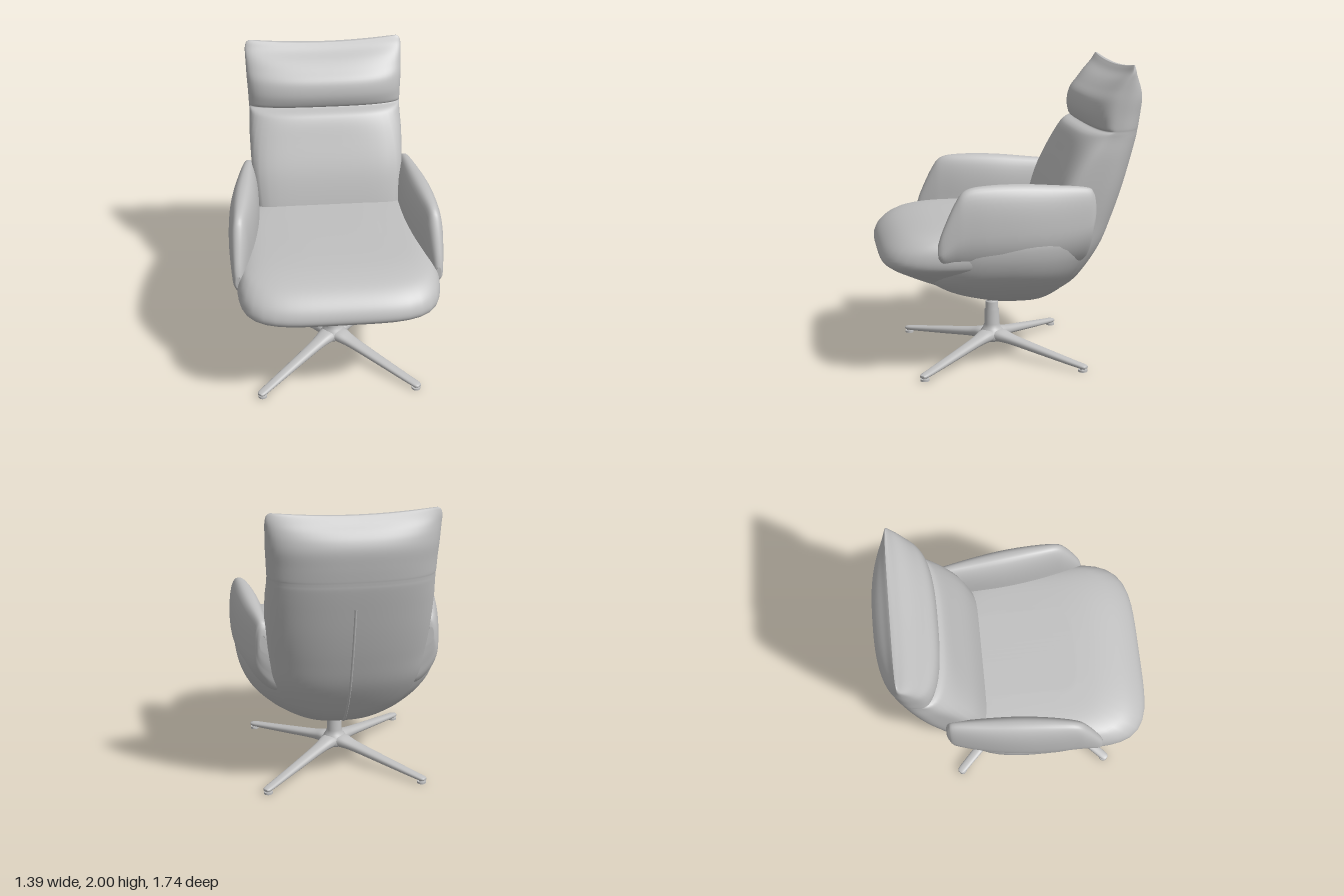
import * as THREE from 'three';

const SEG = 64;
const { smoothstep } = THREE.MathUtils;

// Closed smooth skin through equal-length symmetric rings, ends capped by strips
function loft(rings, flip = false) {
  const n = rings[0].length, idx = [];
  const tri = (a, b, c) => (flip ? idx.push(a, c, b) : idx.push(a, b, c));
  for (let i = 0; i < rings.length - 1; i++) {
    for (let j = 0; j < n; j++) {
      const a = i * n + j, b = i * n + (j + 1) % n;
      tri(a, b, a + n);
      tri(b, b + n, a + n);
    }
  }
  const last = (rings.length - 1) * n;
  for (let j = 0; j < n / 2; j++) {
    const k = n - j - 1, m = (n - j) % n;
    tri(last + j, last + j + 1, last + k);
    tri(last + j, last + k, last + m);
    tri(j, k, j + 1);
    tri(j, m, k);
  }
  const g = new THREE.BufferGeometry();
  g.setAttribute('position', new THREE.Float32BufferAttribute(rings.flat(2), 3));
  g.setIndex(idx);
  g.computeVertexNormals();
  return g;
}

// Smoothly subdivide a table of section values
function refine(rows, steps = 5) {
  const out = [], at = i => rows[Math.max(0, Math.min(rows.length - 1, i))];
  for (let i = 0; i < rows.length - 1; i++) {
    for (let k = 0; k < steps; k++) {
      const t = k / steps, t2 = t * t, t3 = t2 * t;
      out.push(rows[i].map((b, c) => {
        const d = at(i + 1)[c], m0 = (d - at(i - 1)[c]) / 2, m1 = (at(i + 2)[c] - b) / 2;
        return b * (2 * t3 - 3 * t2 + 1) + m0 * (t3 - 2 * t2 + t) + d * (3 * t2 - 2 * t3) + m1 * (t3 - t2);
      }));
    }
  }
  out.push(rows[rows.length - 1]);
  return out;
}

// Unit rounded-square outline; p1 shapes the positive half, p2 the negative half
function outline(p1, p2 = p1, n = SEG) {
  return Array.from({ length: n }, (_, j) => {
    const a = (j / n) * Math.PI * 2, c = Math.cos(a), s = Math.sin(a), p = s >= 0 ? p1 : p2;
    const r = Math.pow(Math.abs(c) ** p + Math.abs(s) ** p, -1 / p);
    return [c * r, s * r];
  });
}

// Horizontal sections: [y, half width, front z, widest z, back z]
function stack(rows, pFront, pBack, bend = (x, y) => y) {
  return loft(refine(rows).map(([y, w, zf, zc, zb]) =>
    outline(pFront(y), pBack).map(([u, v]) =>
      [u * w, bend(u * w, y), zc + v * (v > 0 ? zf - zc : zc - zb)])), true);
}

export function createModel() {
  const model = new THREE.Group();
  model.name = 'swivelArmchair';
  const grey = new THREE.MeshStandardMaterial({ color: 0xc0c0c0 });
  grey.name = 'light grey';
  const add = (name, geometry, parent = model) => {
    const m = new THREE.Mesh(geometry, grey);
    m.name = name;
    parent.add(m);
    return m;
  };

  // Bucket shell under the seat
  add('bucketShell', stack([
    [0.405, 0.17, 0.02, -0.08, -0.21],
    [0.42, 0.24, 0.1, -0.06, -0.26],
    [0.45, 0.32, 0.22, -0.02, -0.31],
    [0.5, 0.415, 0.38, 0.03, -0.37],
    [0.55, 0.49, 0.49, 0.06, -0.415],
    [0.62, 0.57, 0.58, 0.09, -0.465],
    [0.7, 0.63, 0.6, 0.11, -0.515],
    [0.8, 0.668, 0.57, 0.12, -0.57],
    [0.9, 0.675, 0.52, 0.12, -0.61],
    [0.94, 0.64, 0.48, 0.12, -0.6],
  ], () => 3.8, 2.7));

  // Seat cushion, rolled at the front and tapering underneath
  add('seatCushion', stack([
    [0.46, 0.2, 0.27, 0.1, -0.2],
    [0.5, 0.26, 0.4, 0.1, -0.25],
    [0.58, 0.39, 0.57, 0.15, -0.3],
    [0.66, 0.52, 0.72, 0.2, -0.35],
    [0.73, 0.625, 0.835, 0.25, -0.38],
    [0.78, 0.655, 0.87, 0.28, -0.4],
    [0.85, 0.655, 0.845, 0.28, -0.4],
    [0.91, 0.635, 0.78, 0.25, -0.4],
    [0.95, 0.595, 0.69, 0.22, -0.4],
    [0.975, 0.5, 0.56, 0.18, -0.38],
    [0.985, 0.3, 0.4, 0.12, -0.34],
  ], () => 4.5, 4));

  // Backrest with a crease below the bowed headrest roll and a dipped top edge
  const backRows = [
    [0.45, 0.2, -0.05, -0.15, -0.325],
    [0.5, 0.3, -0.1, -0.2, -0.395],
    [0.6, 0.4, -0.12, -0.28, -0.485],
    [0.8, 0.48, -0.18, -0.38, -0.61],
    [1.0, 0.505, -0.22, -0.45, -0.69],
    [1.2, 0.52, -0.28, -0.52, -0.755],
    [1.4, 0.525, -0.37, -0.58, -0.81],
    [1.52, 0.52, -0.43, -0.62, -0.84],
    [1.56, 0.52, -0.47, -0.63, -0.847],
    [1.578, 0.52, -0.53, -0.635, -0.85],
    [1.6, 0.522, -0.495, -0.64, -0.854],
    [1.68, 0.525, -0.475, -0.65, -0.865],
    [1.77, 0.53, -0.495, -0.67, -0.872],
    [1.84, 0.532, -0.555, -0.69, -0.857],
    [1.9, 0.534, -0.615, -0.71, -0.827],
    [1.95, 0.534, -0.68, -0.73, -0.79],
    [1.985, 0.525, -0.715, -0.738, -0.765],
    [2.0, 0.505, -0.73, -0.742, -0.752],
  ];
  add('backrest', stack(backRows, y => 7 - 4.2 * smoothstep(y, 1.15, 1.65), 2.5, (x, y) =>
    y - 0.03 * smoothstep(y, 1.75, 2) * Math.max(0, 1 - (x / 0.5) ** 2)));

  // Raised seam down the middle of the back
  add('backSeam', new THREE.TubeGeometry(new THREE.CatmullRomCurve3(
    backRows.slice(0, 7).map(r => new THREE.Vector3(0, r[0], r[4]))), 60, 0.008, 8));

  // Armrests, sections along z: [z, inner x, outer x, bottom y, top y]
  const armRows = refine([
    [-0.495, 0.52, 0.56, 1.0, 1.14],
    [-0.48, 0.495, 0.58, 0.86, 1.2],
    [-0.43, 0.485, 0.605, 0.74, 1.237],
    [-0.2, 0.483, 0.658, 0.68, 1.262],
    [0.0, 0.495, 0.687, 0.67, 1.278],
    [0.2, 0.525, 0.697, 0.67, 1.28],
    [0.35, 0.56, 0.694, 0.68, 1.26],
    [0.42, 0.58, 0.69, 0.7, 1.18],
    [0.5, 0.61, 0.68, 0.73, 1.01],
    [0.53, 0.63, 0.665, 0.8, 0.92],
  ]);
  // The lower half curls inward to merge with the bucket
  const armOutline = outline(2.5, 2.5, 48);
  for (const s of [1, -1]) {
    add(s > 0 ? 'leftArmrest' : 'rightArmrest', loft(armRows.map(([z, xi, xo, yb, yt]) =>
      armOutline.map(([u, v]) => [
        s * ((xi + xo) / 2 + u * (xo - xi) / 2 - 0.1 * Math.min(v, 0) ** 2),
        (yb + yt) / 2 + v * (yt - yb) / 2, z])), s < 0));
  }

  // Swivel base
  const base = new THREE.Group();
  base.name = 'swivelBase';
  base.position.z = 0.09;
  model.add(base);
  const column = [[0, 0.085], [0.07, 0.085], [0.095, 0.11], [0.085, 0.145], [0.062, 0.17], [0.052, 0.2],
    [0.05, 0.3], [0.044, 0.305], [0.044, 0.355], [0.04, 0.36], [0.027, 0.362], [0.027, 0.395],
    [0.06, 0.405], [0.075, 0.418], [0.075, 0.44], [0, 0.44]];
  add('column', new THREE.LatheGeometry(column.map(p => new THREE.Vector2(...p)), 40), base);

  // Mounting plate and bolts, following the slope of the shell
  const mount = new THREE.Group();
  mount.name = 'mount';
  mount.position.set(0, 0.426, 0);
  mount.rotation.x = -0.13;
  base.add(mount);
  add('mountingPlate', new THREE.BoxGeometry(0.36, 0.016, 0.26), mount);
  for (const x of [-0.15, 0.15]) for (const z of [-0.1, 0.1]) {
    add('plateBolt', new THREE.CylinderGeometry(0.014, 0.014, 0.012, 16), mount).position.set(x, -0.01, z);
  }

  // Four diagonal legs: [distance, half width, bottom y, top y]
  const legRows = refine([
    [0.0, 0.07, 0.085, 0.16],
    [0.08, 0.06, 0.085, 0.163],
    [0.18, 0.046, 0.08, 0.14],
    [0.4, 0.037, 0.054, 0.103],
    [0.65, 0.031, 0.026, 0.062],
    [0.74, 0.028, 0.019, 0.048],
    [0.765, 0.016, 0.024, 0.04],
  ]);
  const legOutline = outline(2.6, 2.6, 24);
  const legGeometry = loft(legRows.map(([x, w, yb, yt]) =>
    legOutline.map(([u, v]) => [x, (yb + yt) / 2 + u * (yt - yb) / 2, v * w])));
  for (let i = 0; i < 4; i++) {
    const arm = new THREE.Group();
    arm.name = 'baseLeg';
    arm.rotation.y = Math.PI / 4 + i * Math.PI / 2;
    base.add(arm);
    add('leg', legGeometry, arm);
    add('footPad', new THREE.CylinderGeometry(0.03, 0.03, 0.014, 24), arm).position.set(0.735, 0.007, 0);
    add('footStem', new THREE.CylinderGeometry(0.018, 0.018, 0.02, 16), arm).position.set(0.735, 0.02, 0);
  }
  return model;
}
